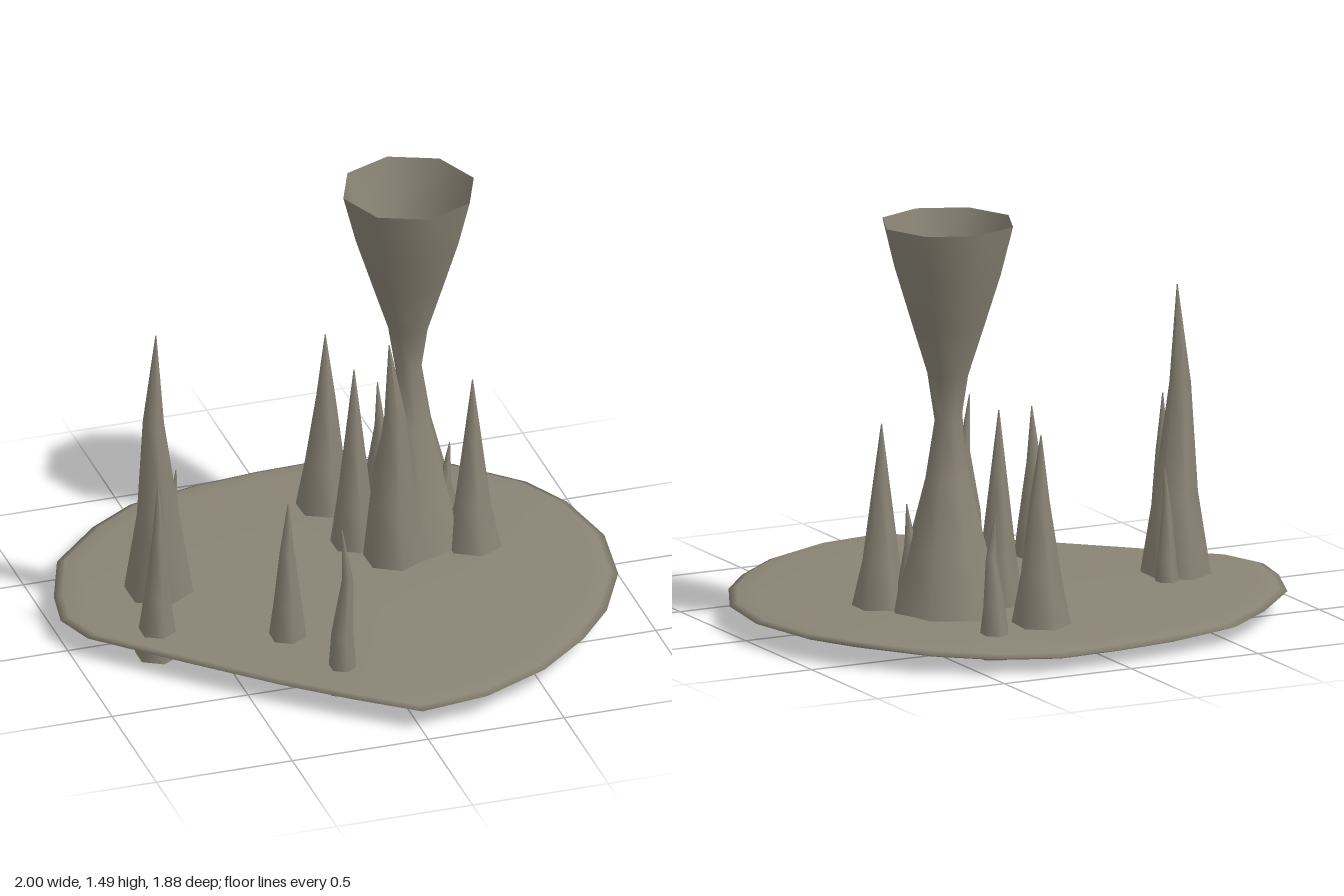
import * as THREE from 'three';

const stone = new THREE.MeshStandardMaterial({ color: 0x8a8475, side: THREE.DoubleSide });
stone.name = 'grey brown stone';

// Skin a stack of rings (bottom to top, each counterclockwise from above).
function loft(rings) {
  const n = rings[0].length, index = [];
  for (let i = 0; i < rings.length - 1; i++) {
    for (let j = 0; j < n; j++) {
      const a = i * n + j, b = i * n + (j + 1) % n;
      index.push(a, b, a + n, b, b + n, a + n);
    }
  }
  const g = new THREE.BufferGeometry();
  g.setAttribute('position', new THREE.Float32BufferAttribute(rings.flat(2), 3));
  g.setIndex(index);
  g.computeVertexNormals();
  return g;
}

function ring(x, y, z, r, sides) {
  return Array.from({ length: sides }, (_, i) => {
    const a = (i / sides) * Math.PI * 2;
    return [x + Math.sin(a) * r, y, z + Math.cos(a) * r];
  });
}

function add(group, name, geometry) {
  const mesh = new THREE.Mesh(geometry, stone);
  mesh.name = name;
  group.add(mesh);
}

// Ground outline as x, z pairs, with a blunt point at the front
const outline = [
  [-1, -0.08], [-0.97, -0.25], [-0.88, -0.49], [-0.68, -0.7], [-0.5, -0.83], [-0.24, -0.9],
  [0, -0.93], [0.24, -0.94], [0.47, -0.87], [0.66, -0.75], [0.86, -0.53], [0.95, -0.35],
  [1, -0.08], [0.96, 0.2], [0.84, 0.44], [0.7, 0.61], [0.5, 0.78], [0.25, 0.9],
  [0, 0.935], [-0.2, 0.78], [-0.41, 0.6], [-0.68, 0.34], [-0.95, 0.07],
].reverse();

// Lens section of the ground: scale of outline, height
const slabSection = [
  [0.001, 0.052], [0.5, 0.052], [0.9, 0.058], [0.97, 0.066], [1, 0.077],
  [0.97, 0.088], [0.9, 0.095], [0.5, 0.104], [0.001, 0.106],
];

// Spikes: base x, z, radius, height, tip x, z, bend x, z, shoulder fullness
const spikes = [
  [-0.615, -0.15, 0.14, 1.13, -0.635, -0.125, -0.015, 0, 0.85],
  [-0.53, -0.25, 0.052, 0.51, -0.52, -0.25, -0.01, 0.01, 1],
  [-0.71, 0.12, 0.08, 0.68, -0.71, 0.13, 0, 0.01, 0.9],
  [-0.29, 0.305, 0.08, 0.635, -0.295, 0.325, 0, -0.01, 1],
  [-0.175, 0.57, 0.056, 0.64, -0.177, 0.57, 0.02, 0, 1.1],
  [0.13, -0.565, 0.12, 0.765, 0.135, -0.575, 0, 0.01, 0.9],
  [0.345, -0.625, 0.06, 0.51, 0.345, -0.63, 0, 0.025, 1],
  [0.53, -0.12, 0.125, 0.755, 0.53, -0.125, 0, 0, 0.8],
  [0.235, -0.11, 0.12, 0.96, 0.215, -0.1, 0.015, 0, 1.05],
  [0.14, -0.26, 0.1, 0.79, 0.138, -0.26, 0, 0, 0.95],
  [0.46, -0.2, 0.065, 0.475, 0.47, -0.2, -0.01, 0, 1],
];

function spikeGeometry([x, z, r, h, tx, tz, bx, bz, full]) {
  return loft([
    ring(x, 0, z, r, 6),
    ring(x + (tx - x) * 0.2, h * 0.35, z + (tz - z) * 0.2, r * 0.65 * full, 6),
    ring(x + (tx - x) * 0.5 + bx, h * 0.69, z + (tz - z) * 0.5 + bz, r * 0.32 * full, 6),
    ring(tx, h, tz, 0.002, 6),
  ]);
}

// Hourglass column: height, radius
const columnProfile = [
  [0.045, 0.225], [0.11, 0.205], [0.32, 0.145], [0.56, 0.082], [0.77, 0.048],
  [0.94, 0.075], [1.13, 0.137], [1.31, 0.195], [1.485, 0.24],
];

export function createModel() {
  const model = new THREE.Group();
  model.name = 'stalagmiteField';

  add(model, 'groundSlab', loft(slabSection.map(([s, y]) =>
    outline.map(([x, z]) => [x * s, y - (z < -0.6 ? (-z - 0.6) * 0.07 * s : 0), z * s]))));

  add(model, 'hollowColumn', loft(columnProfile.map(([y, r]) => ring(0.337, y, -0.255, r, 8))));

  spikes.forEach((s, i) => add(model, `stalagmite${i + 1}`, spikeGeometry(s)));
  return model;
}
